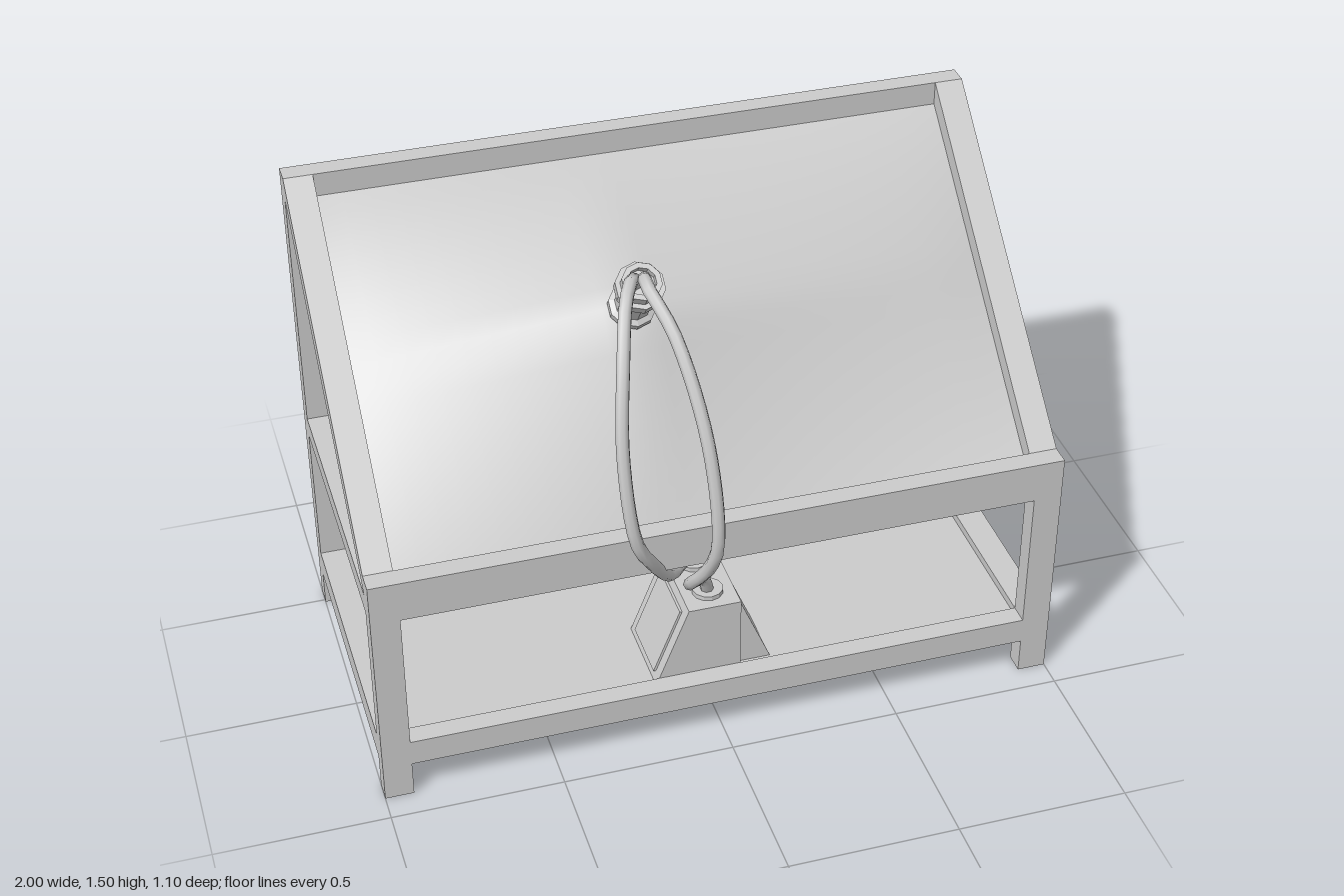
import * as THREE from 'three';

const grey = new THREE.MeshStandardMaterial({ color: 0xcccccc });
const flat = new THREE.MeshStandardMaterial({ color: 0xcccccc, flatShading: true });
const thin = new THREE.MeshStandardMaterial({ color: 0xcccccc, side: THREE.DoubleSide });

export function createModel() {
  const model = new THREE.Group();

  function add(name, geometry, material = flat, parent = model) {
    const mesh = new THREE.Mesh(geometry, material);
    mesh.name = name;
    parent.add(mesh);
    return mesh;
  }

  // Box given by its lower and upper limits on each axis
  function bar(name, x0, x1, y0, y1, z0, z1) {
    const g = new THREE.BoxGeometry(x1 - x0, y1 - y0, z1 - z0);
    g.translate((x0 + x1) / 2, (y0 + y1) / 2, (z0 + z1) / 2);
    return add(name, g);
  }

  // Outline in x, y extruded from z0 to z1
  function prism(points, z0, z1) {
    const shape = new THREE.Shape(points.map(([x, y]) => new THREE.Vector2(x, y)));
    const g = new THREE.ExtrudeGeometry(shape, { depth: z1 - z0, bevelEnabled: false });
    return g.translate(0, 0, z0);
  }

  // Frame sides: legs, lower, middle and sloping rails
  const w = 0.083;
  const front = 0.42, frontIn = 0.36, back = -0.55, backIn = -0.49;
  for (const [side, x0] of [['left', 1 - w], ['right', -1]]) {
    const x1 = x0 + w;
    bar(side + 'FrontLeg', x0, x1, 0, 0.755, frontIn, front);
    bar(side + 'BackLeg', x0, x1, 0, 1.5, back, backIn);
    bar(side + 'LowerRail', x0, x1, 0.11, 0.19, backIn, frontIn);
    bar(side + 'MiddleRail', x0, x1, 0.63, 0.69, backIn, frontIn);
    // outline in z, y turned to run along x
    const slope = prism([[frontIn, 0.69], [frontIn, 0.755], [backIn, 1.5], [backIn, 1.43]].reverse(), -x1, -x0);
    slope.rotateY(-Math.PI / 2);
    add(side + 'SlopingRail', slope);
  }

  // Rails across the width and the floor
  const inner = 1 - w;
  bar('frontLowerRail', -inner, inner, 0.11, 0.19, frontIn, front);
  bar('backLowerRail', -inner, inner, 0.11, 0.19, back, backIn);
  bar('frontUpperRail', -inner, inner, 0.63, 0.755, frontIn, front);
  bar('backUpperRail', -inner, inner, 1.43, 1.5, back, backIn);
  bar('floorPanel', -inner, inner, 0.14, 0.165, backIn, frontIn);

  // Sheets stretched on the sloping opening, raised by height(x, u)
  const length = 1.127;
  function sheet(name, height) {
    const g = new THREE.PlaneGeometry(inner * 2, length, 24, 18);
    const p = g.attributes.position;
    for (let i = 0; i < p.count; i++) {
      const x = p.getX(i), u = p.getY(i) + length / 2, h = height(x, u);
      p.setXYZ(i, x, 0.69 + 0.657 * u + 0.754 * h, frontIn - 0.754 * u + 0.657 * h);
    }
    g.computeVertexNormals();
    add(name, g, thin);
  }
  const peakX = -0.153, peakU = 0.61;
  const tent = (v, lo, peak, hi) => Math.max(0, v < peak ? (v - lo) / (peak - lo) : (hi - v) / (hi - peak));
  sheet('upperSheet', (x, u) => 0.2 * Math.pow(tent(x, -inner, peakX, inner), 0.9) * tent(u, 0, peakU, length));
  sheet('lowerDish', (x, u) => -0.275 * (1 - (x / inner) ** 2) * 4 * (u / length) * (1 - u / length));

  // Fitting on the peak of the upper sheet
  const profile = [[0, 0], [0.068, 0], [0.068, 0.022], [0.052, 0.03], [0.052, 0.125], [0.07, 0.125],
    [0.07, 0.155], [0.056, 0.155], [0.056, 0.185], [0.04, 0.185], [0.04, 0.165], [0, 0.165]];
  const fitting = add('pipeFitting', new THREE.LatheGeometry(profile.map(([r, y]) => new THREE.Vector2(r, y)), 10));
  fitting.position.set(-0.15, 1.235, 0.012);
  fitting.rotation.x = 0.64;

  // Pipes from the fitting down to the pump
  const paths = {
    leftPipe: [[-0.135, 1.36, 0.1], [-0.15, 1.41, 0.145], [-0.16, 1.42, 0.2], [-0.12, 1.333, 0.333],
      [-0.075, 1.083, 0.48], [-0.06, 0.774, 0.53], [-0.075, 0.663, 0.49], [-0.1, 0.55, 0.4],
      [-0.035, 0.49, 0.315], [-0.013, 0.42, 0.286]],
    rightPipe: [[-0.165, 1.36, 0.1], [-0.185, 1.415, 0.15], [-0.225, 1.4, 0.23], [-0.265, 1.28, 0.34],
      [-0.294, 1.05, 0.43], [-0.27, 0.78, 0.468], [-0.22, 0.68, 0.44], [-0.15, 0.57, 0.37],
      [-0.07, 0.515, 0.25], [-0.03, 0.47, 0.185], [-0.013, 0.42, 0.15]],
  };
  for (const [name, pts] of Object.entries(paths)) {
    const curve = new THREE.CatmullRomCurve3(pts.map((q) => new THREE.Vector3(...q)));
    add(name, new THREE.TubeGeometry(curve, 28, 0.019, 8), grey);
  }

  // Pump housing with a side wedge, a side panel and two ports
  const pump = new THREE.Group();
  pump.name = 'pump';
  model.add(pump);
  add('housing', prism([[-0.19, 0.16], [0.065, 0.16], [0.065, 0.415], [-0.09, 0.415]], 0.095, 0.36), flat, pump);
  add('sideWedge', prism([[0.065, 0.16], [0.168, 0.16], [0.065, 0.405]], 0.13, 0.325), flat, pump);
  add('sidePanel', prism([[-0.186, 0.19], [-0.17, 0.19], [-0.09, 0.39], [-0.107, 0.39]], 0.13, 0.325), flat, pump);
  for (const z of [0.286, 0.15]) {
    const port = add('pipePort', new THREE.CylinderGeometry(0.045, 0.045, 0.016, 12), flat, pump);
    port.position.set(-0.013, 0.421, z);
  }

  return model;
}
